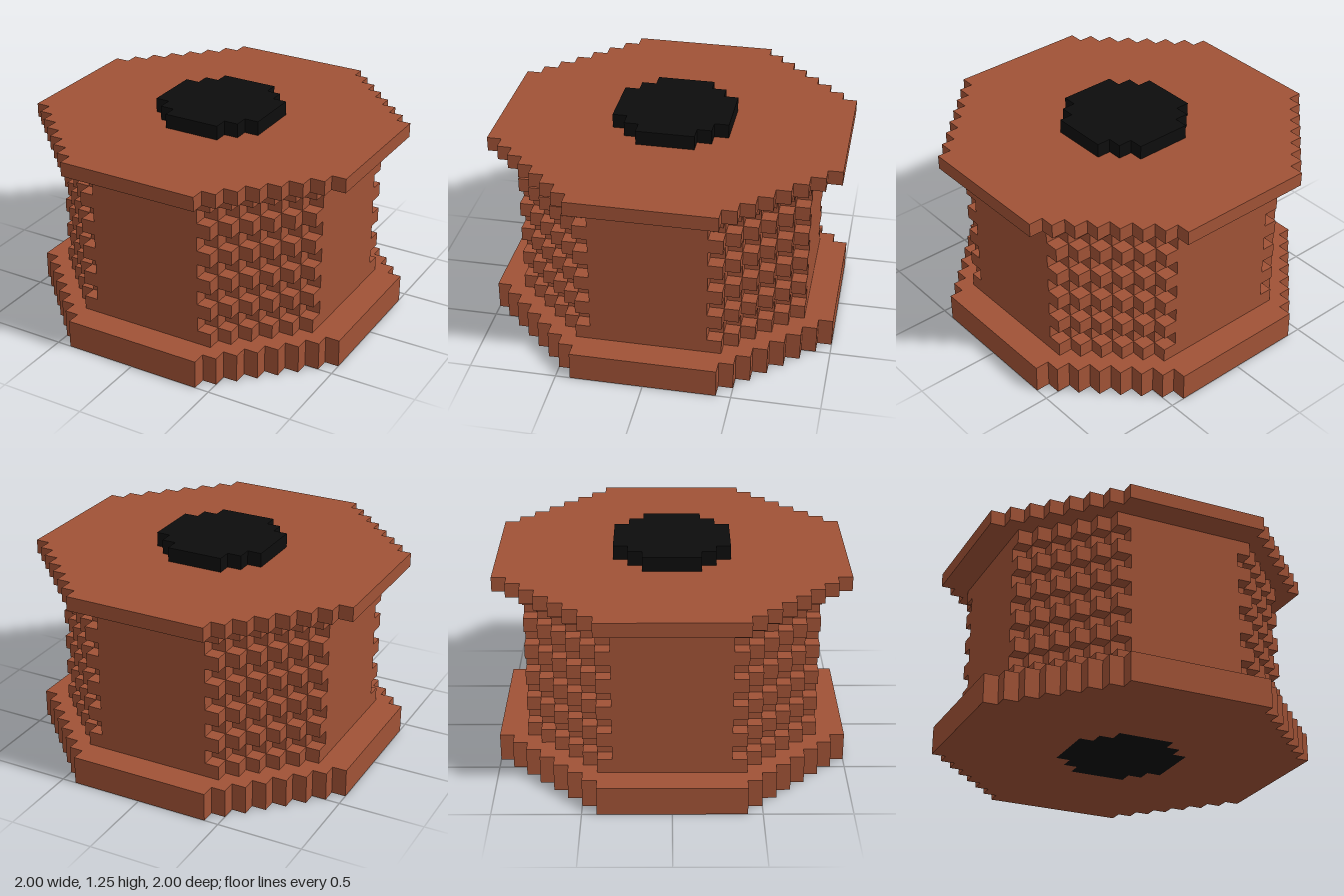
import * as THREE from 'three';

const U = 1 / 12; // edge of one cube step

// Stepped octagon: half-width r, flat sides of half-length e, corners cut in unit steps
function steppedPoints(r, e) {
  const quarter = [];
  for (let i = 0; i < r - e; i++) {
    quarter.push([r - i, e + i], [r - i - 1, e + i]);
  }
  quarter.push([e, r]);
  const points = [];
  for (let q = 0; q < 4; q++) {
    for (const [x, y] of quarter) {
      const [px, py] = [[x, y], [-y, x], [-x, -y], [y, -x]][q];
      points.push(new THREE.Vector2(px * U, py * U));
    }
  }
  return points;
}

export function createModel() {
  const group = new THREE.Group();
  const clay = new THREE.MeshStandardMaterial({ color: 0xa05236 });
  clay.name = 'reddish brown';
  const black = new THREE.MeshStandardMaterial({ color: 0x0d0d0d });
  black.name = 'black';

  // Horizontal slab from step y0 to y1, optionally bored for the core
  function slab(name, r, e, y0, y1, material, bored = true) {
    const shape = new THREE.Shape(steppedPoints(r, e));
    if (bored) shape.holes.push(new THREE.Path(steppedPoints(4, 2)));
    const geometry = new THREE.ExtrudeGeometry(shape, { depth: (y1 - y0) * U, bevelEnabled: false });
    geometry.rotateX(-Math.PI / 2);
    const mesh = new THREE.Mesh(geometry, material);
    mesh.name = name;
    mesh.position.y = y0 * U;
    return mesh;
  }

  // End flanges
  group.add(slab('bottomFlange', 12, 5, 0, 2, clay));
  group.add(slab('topFlange', 12, 5, 13, 14, clay));

  // Wound drum: every second layer is recessed at the corners
  const drum = new THREE.Group();
  drum.name = 'drum';
  for (let y = 2; y < 13; y++) {
    const recessed = y % 2 === 1;
    drum.add(slab(recessed ? 'recessedLayer' : 'fullLayer', 10, recessed ? 4 : 5, y, y + 1, clay));
  }
  group.add(drum);

  // Core, flush below and raised one step above the top flange
  group.add(slab('core', 4, 2, 0, 15, black, false));

  return group;
}
